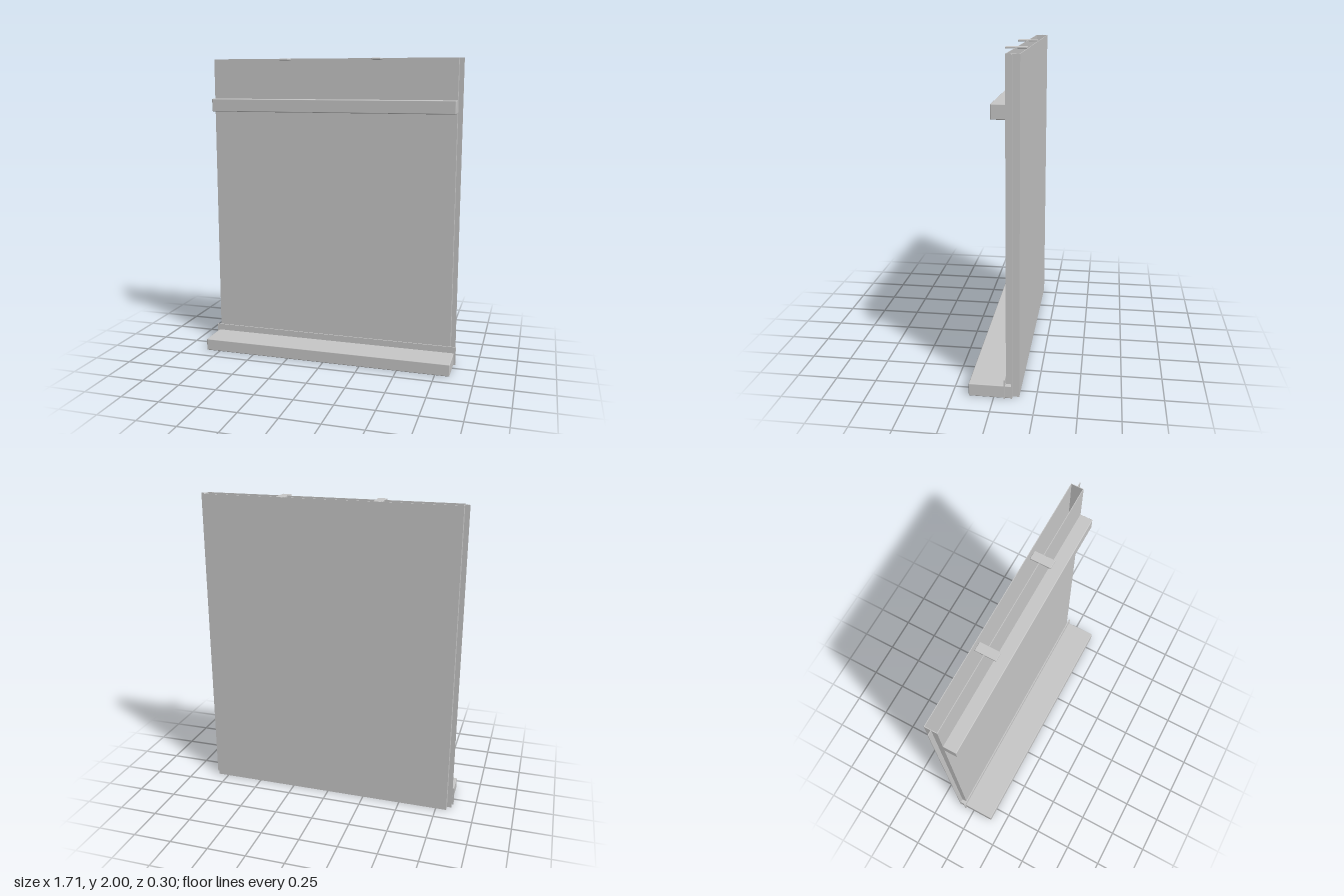
import * as THREE from 'three';
import { RoundedBoxGeometry } from 'three/addons/geometries/RoundedBoxGeometry.js';

export function createModel() {
  const model = new THREE.Group();
  const gray = new THREE.MeshStandardMaterial({ color: 0xc8c8c8 });
  gray.name = 'light gray metal';

  // Box given by its lower and upper limits on each axis, with optional rounded edges
  function box(name, [x0, x1], [y0, y1], [z0, z1], parent = model, radius = 0) {
    const size = [x1 - x0, y1 - y0, z1 - z0];
    const geometry = radius
      ? new RoundedBoxGeometry(...size, 2, radius)
      : new THREE.BoxGeometry(...size);
    const mesh = new THREE.Mesh(geometry, gray);
    mesh.position.set((x0 + x1) / 2, (y0 + y1) / 2, (z0 + z1) / 2);
    mesh.name = name;
    parent.add(mesh);
  }

  // Hollow sheet panel, open at the top
  const t = 0.004;
  const panel = new THREE.Group();
  panel.name = 'panel';
  model.add(panel);
  box('frontSheet', [-0.82, 0.82], [0, 2], [-0.07 - t, -0.07], panel);
  box('backSheet', [-0.82, 0.82], [0, 2], [-0.15, -0.15 + t], panel);
  box('bottomSheet', [-0.82 + t, 0.82 - t], [0, t], [-0.15 + t, -0.11], panel);

  // Parts repeated on both sides
  for (const s of [-1, 1]) {
    const side = s > 0 ? 'left' : 'right';
    const span = (a, b) => (s > 0 ? [a, b] : [-b, -a]);
    box(side + 'SideSheet', span(0.82 - t, 0.82), [0, 2], [-0.15 + t, -0.07 - t], panel);
    // Narrow flange set back along the side
    box(side + 'Flange', span(0.82, 0.85), [0, 2], [-0.11, -0.11 + t], panel);
    // Flat hanger over the top edge
    box(side + 'Hanger', span(0.28, 0.337), [1.988, 2], [-0.13, 0], model, 0.003);
  }

  // Upper rail
  box('upperRail', [-0.82, 0.82], [1.652, 1.737], [-0.075, 0.012], model, 0.005);

  // Bottom shelf, gripping the panel, with its upright back plate
  box('shelf', [-0.845, 0.845], [0, 0.08], [-0.11, 0.15], model, 0.005);
  box('shelfBackPlate', [-0.857, 0.857], [0, 0.122], [-0.068, -0.06]);

  return model;
}
